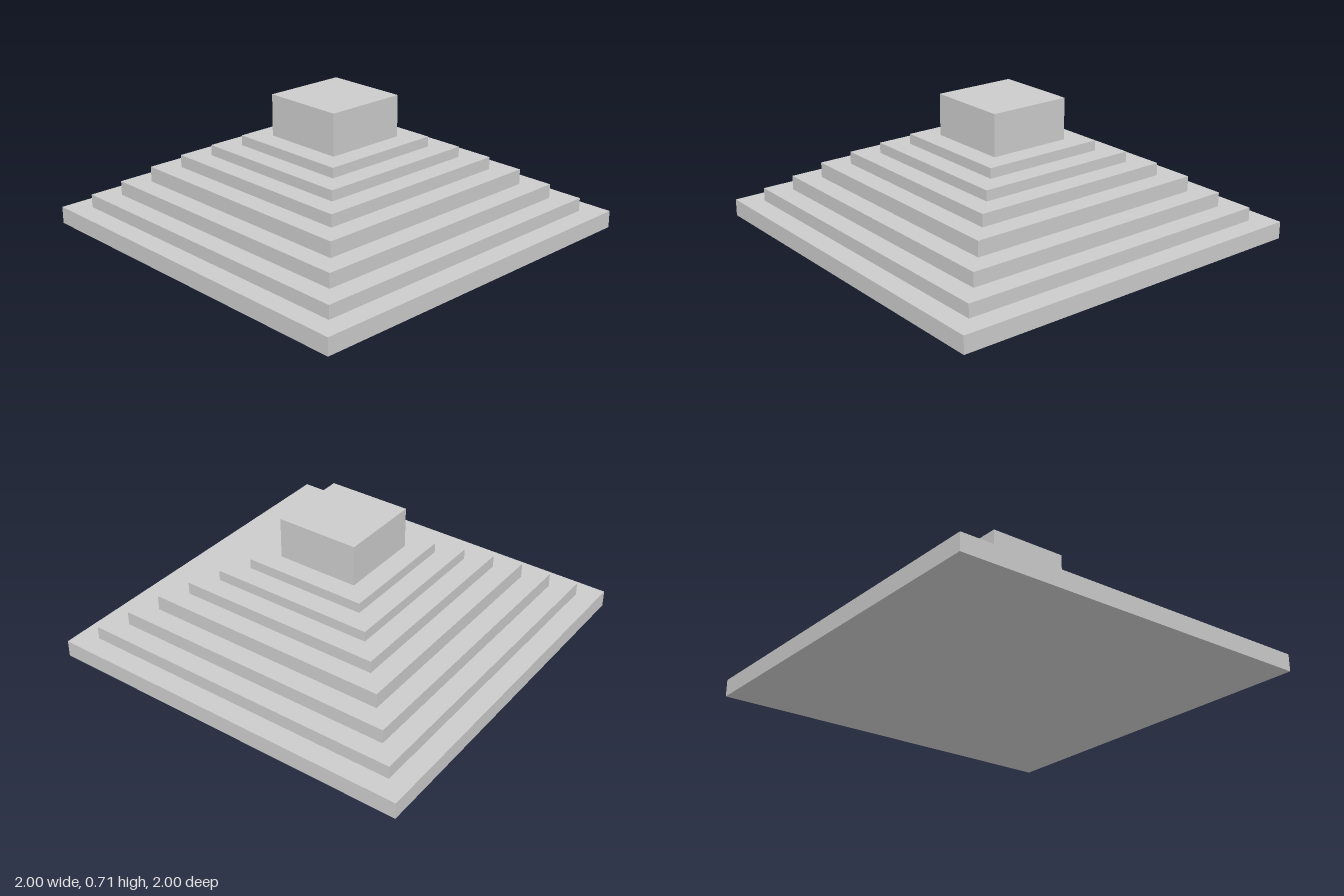
import * as THREE from 'three';

export function createModel() {
  const group = new THREE.Group();
  group.name = 'steppedPyramid';
  const material = new THREE.MeshStandardMaterial({ color: 0xcccccc, flatShading: true });

  // Top height of each square tier, from the ground up; the last is the shrine
  const tops = [0.09, 0.16, 0.235, 0.315, 0.38, 0.435, 0.488, 0.706];

  let bottom = 0;
  tops.forEach((top, i) => {
    // Every tier steps in by one ninth of the base half-width
    const width = 2 * (1 - i / 9);
    const tier = new THREE.Mesh(new THREE.BoxGeometry(width, top - bottom, width), material);
    tier.position.y = (top + bottom) / 2;
    tier.name = i === tops.length - 1 ? 'shrine' : `tier${i + 1}`;
    group.add(tier);
    bottom = top;
  });

  return group;
}
